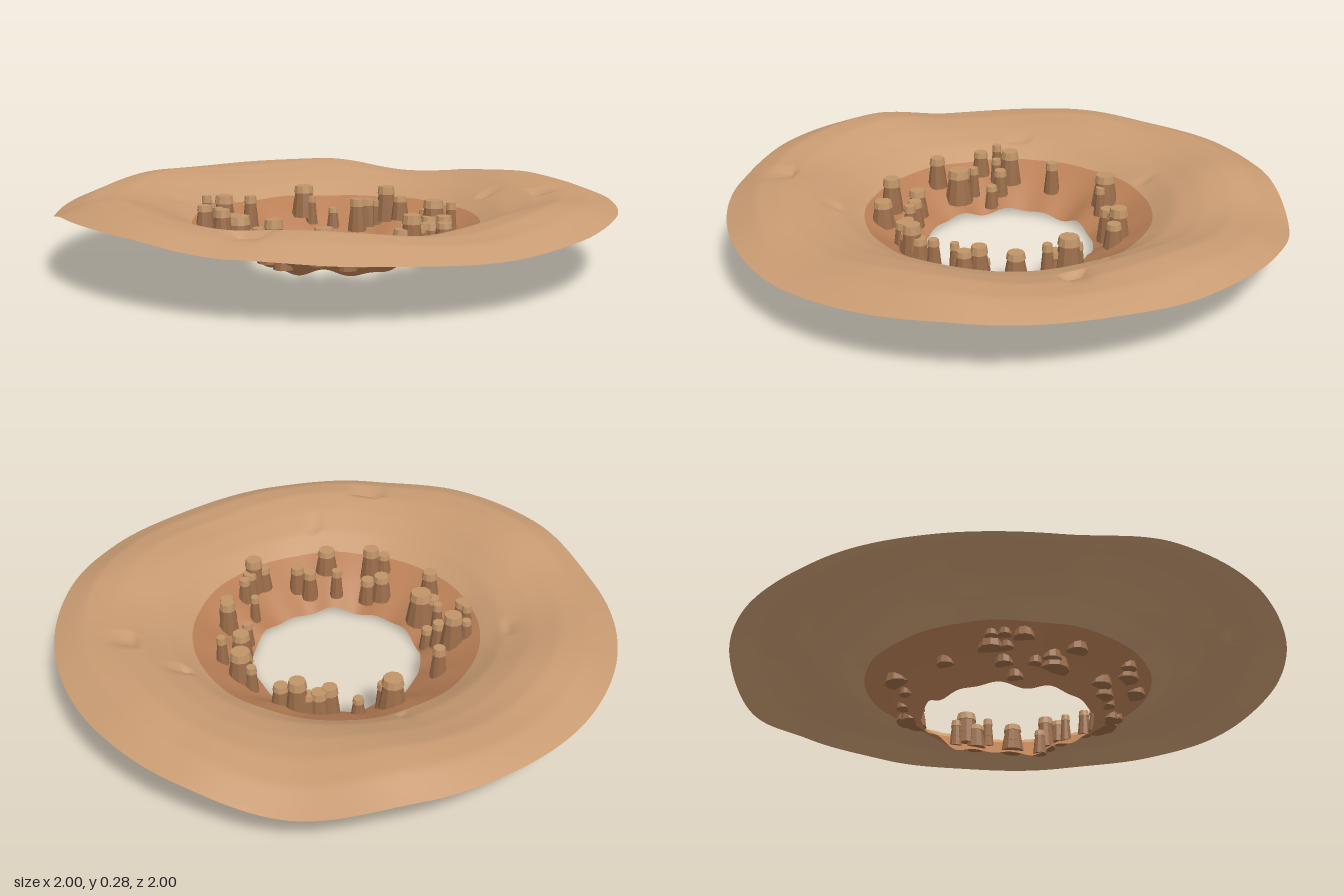
import * as THREE from 'three';

// Height of the bowl by radius, before undulation
const PROFILE = [[0.31, 0.025], [0.36, 0.06], [0.42, 0.1], [0.52, 0.158], [0.6, 0.205], [0.7, 0.238], [0.8, 0.255], [0.9, 0.243], [1, 0.2]];
// Rise and fall of the outer rim, every 22.5 degrees from -45 degrees
const RIM = [0.03, 0.02, 0.005, -0.005, 0, 0.02, 0.045, 0.04, 0.0, 0.0, 0.01, 0.02, 0.005, -0.04, 0, 0.01];
// Sharp-sided steps on the slope: angle, half width, inner and outer radius, depth
const GULLIES = [[1.19, 0.06, 0.8, 0.93, 0.025], [-0.79, 0.05, 0.72, 0.84, 0.025], [-1.06, 0.04, 0.58, 0.68, 0.025],
  [0.9, 0.035, 0.6, 0.69, 0.012], [2.69, 0.06, 0.6, 0.66, 0.015], [-2.5, 0.04, 0.54, 0.64, 0.012]];
// Rock pillars: x, z, cap radius (hundredths)
const PILLARS = [
  [-35, -22, 4.2], [-31, -22, 2], [-25, -28, 2.2], [-16, -32, 3.2], [-14, -36, 3.2], [-11, -38, 2.6], [-8, -40, 3.6],
  [-2, -41, 3], [14, -35, 2.1], [19, -34, 4.2], [20, -30, 3.2], [29, -31, 2], [29, -19, 3.6], [33, -9, 2.2],
  [40, -11, 3.2], [43, -7, 3], [36, 1, 1.8], [43, 5, 2.2], [44, 10, 3], [44, 13, 3.6], [42, 16, 3], [32, 25, 2.8],
  [27, 26, 2.8], [26, 37, 3.7], [18, 31, 2.2], [7, 36, 3], [2, 38, 3.4], [10, 44, 3.5], [6, 47, 2.6], [-17, 41, 3.2],
  [-18, 32, 4.6], [-22, 34, 3], [-26, 30, 2], [-26, 22, 2.4], [-31, 21, 2.7], [-37, 20, 3.8], [-41, 23, 2],
  [-39, 27, 2], [-35, 25, 2], [-35, 32, 3], [-40, 3, 2.6]];

const smooth = THREE.MathUtils.smoothstep;

function profileHeight(r) {
  let i = 1;
  while (i < PROFILE.length - 1 && r > PROFILE[i][0]) i++;
  const [r0, y0] = PROFILE[i - 1], [r1, y1] = PROFILE[i];
  return THREE.MathUtils.lerp(y0, y1, (r - r0) / (r1 - r0));
}

function rimHeight(angle) {
  const n = RIM.length;
  const t = (((angle + Math.PI / 4) / (Math.PI * 2) + 2) % 1) * n;
  const i = Math.floor(t);
  return THREE.MathUtils.lerp(RIM[i % n], RIM[(i + 1) % n], smooth(t - i, 0, 1));
}

function groundHeight(r, a) {
  let y = profileHeight(r) + rimHeight(a) * smooth(r, 0.55, 1);
  // Radial folds that fade toward the rim and ragged inner lip
  y += 0.013 * Math.sin(6 * a + 3 * r) * smooth(r, 0.5, 0.75) * (1 - 0.6 * smooth(r, 0.8, 1));
  y += (0.008 * Math.sin(7 * a + 1) + 0.007 * Math.sin(12 * a + 2)) * (1 - smooth(r, 0.36, 0.6));
  for (const [ga, w, r0, r1, depth] of GULLIES) {
    const d = Math.atan2(Math.sin(a - ga), Math.cos(a - ga));
    if (Math.abs(d) < w && r > r0 && r < r1) y -= depth * (r1 - r) / (r1 - r0);
  }
  return Math.max(0, y);
}

// Ring of terrain between two radii, lifted by the height rule
function terrainRing(name, inner, outer, rings, color) {
  const geo = new THREE.RingGeometry(inner, outer, 192, rings);
  geo.rotateX(-Math.PI / 2);
  const p = geo.attributes.position;
  for (let i = 0; i < p.count; i++) {
    const x = p.getX(i), z = p.getZ(i);
    p.setY(i, groundHeight(Math.hypot(x, z), Math.atan2(z, x)));
  }
  geo.computeVertexNormals();
  const mesh = new THREE.Mesh(geo, new THREE.MeshStandardMaterial({ color, side: THREE.DoubleSide }));
  mesh.name = name;
  return mesh;
}

export function createModel() {
  const model = new THREE.Group();
  model.name = 'craterBasin';
  model.add(terrainRing('outerSlope', 0.52, 1, 32, 0xc89b72));
  model.add(terrainRing('innerSlope', 0.31, 0.52, 14, 0xb97f56));

  const rock = new THREE.MeshStandardMaterial({ color: 0x9a6c49, flatShading: true });
  const capRock = new THREE.MeshStandardMaterial({ color: 0xc09468, flatShading: true });

  // Eroded pillars: wide foot, tapered shaft, overhanging cap
  PILLARS.forEach(([px, pz, pr], i) => {
    const x = px / 100, z = pz / 100, r = pr / 100;
    const h = 0.075 + r * 1.1 + 0.02 * Math.sin(i * 2.4);
    const pillar = new THREE.Group();
    pillar.name = 'rockPillar';
    const part = (name, top, bottom, y0, y1, mat) => {
      const m = new THREE.Mesh(new THREE.CylinderGeometry(top * r, bottom * r, (y1 - y0) * h, 10), mat);
      m.position.y = (y0 + y1) / 2 * h;
      m.name = name;
      pillar.add(m);
    };
    part('foot', 1.0, 1.2, 0, 0.4, rock);
    part('shaft', 0.8, 1.05, 0.35, 0.8, rock);
    part('cap', 0.82, 0.95, 0.78, 1, capRock);
    pillar.position.set(x, groundHeight(Math.hypot(x, z), Math.atan2(z, x)) - 0.01, z);
    pillar.rotation.y = i * 1.3;
    model.add(pillar);
  });
  return model;
}
